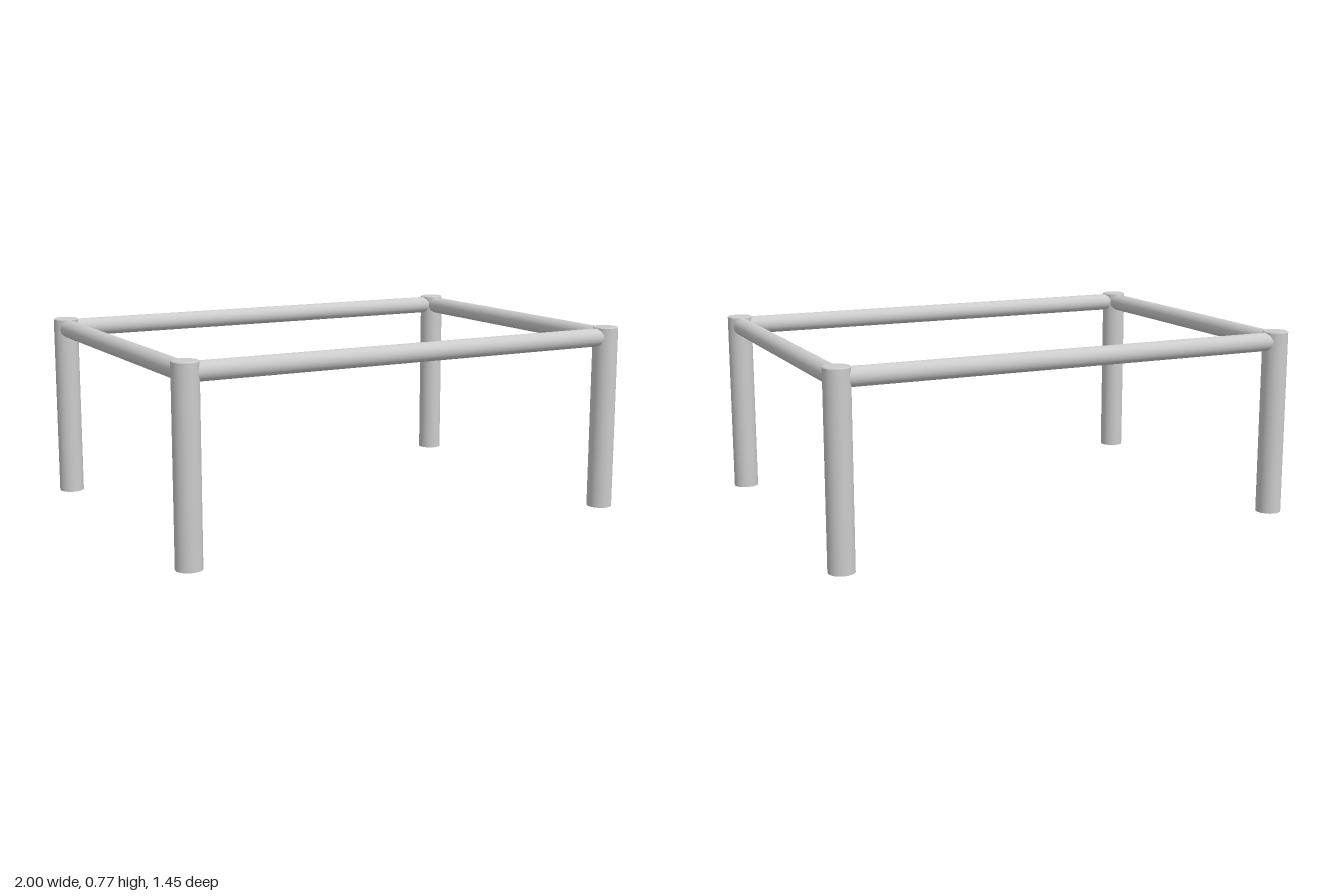
import * as THREE from 'three';

const LEG_X = 0.948, LEG_Z = 0.672, LEG_R = 0.052, HEIGHT = 0.77;
const RAIL_R = 0.038, RAIL_Y = 0.727;

export function createModel() {
  const group = new THREE.Group();
  const material = new THREE.MeshStandardMaterial({ color: 0xcccccc, side: THREE.DoubleSide });

  function add(geometry, name, x, y, z) {
    const mesh = new THREE.Mesh(geometry, material);
    mesh.name = name;
    mesh.position.set(x, y, z);
    group.add(mesh);
    return mesh;
  }

  // Leg: tube open at the foot, with a slightly eased rim and a flat cap on top
  const ease = 0.004;
  const tube = new THREE.CylinderGeometry(LEG_R, LEG_R, HEIGHT - ease, 48, 1, true);
  const rim = new THREE.CylinderGeometry(LEG_R - ease, LEG_R, ease, 48, 1, true);
  const cap = new THREE.CircleGeometry(LEG_R - ease, 48).rotateX(-Math.PI / 2);

  for (const sx of [-1, 1]) {
    for (const sz of [-1, 1]) {
      const name = (sz > 0 ? 'front' : 'back') + (sx > 0 ? 'Left' : 'Right') + 'Leg';
      const x = sx * LEG_X, z = sz * LEG_Z;
      add(tube, name, x, (HEIGHT - ease) / 2, z);
      add(rim, name + 'Rim', x, HEIGHT - ease / 2, z);
      add(cap, name + 'Cap', x, HEIGHT, z);
    }
  }

  // Rails: round bars running between the leg centres
  const longRail = new THREE.CylinderGeometry(RAIL_R, RAIL_R, LEG_X * 2, 48, 1, true).rotateZ(Math.PI / 2);
  const shortRail = new THREE.CylinderGeometry(RAIL_R, RAIL_R, LEG_Z * 2, 48, 1, true).rotateX(Math.PI / 2);
  for (const s of [-1, 1]) {
    add(longRail, s > 0 ? 'frontRail' : 'backRail', 0, RAIL_Y, s * LEG_Z);
    add(shortRail, s > 0 ? 'leftRail' : 'rightRail', s * LEG_X, RAIL_Y, 0);
  }

  return group;
}
